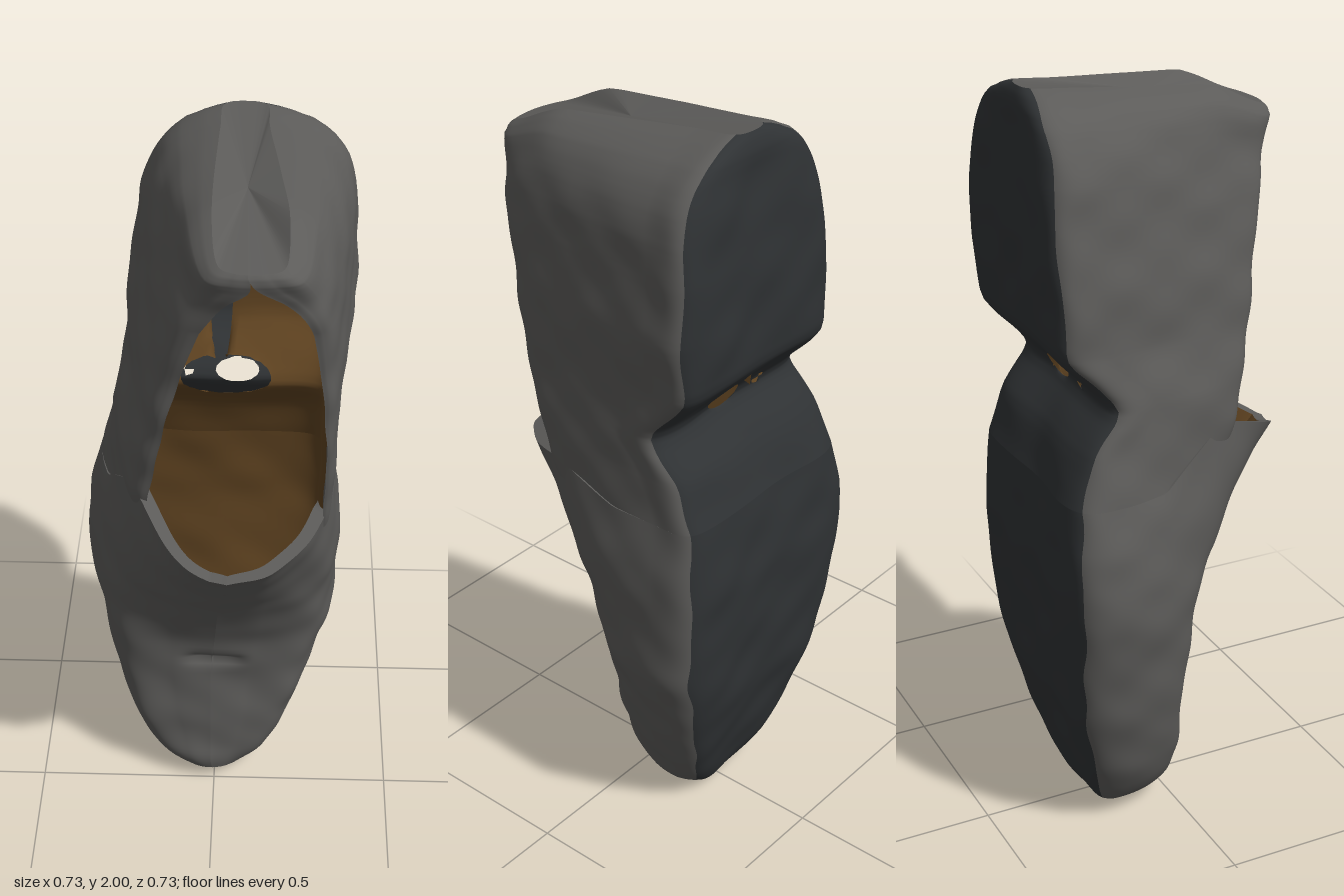
import * as THREE from 'three';

const N = 200; // columns around a section, 10 spans of 20
const clamp = THREE.MathUtils.clamp;

// Toe half: y, sole xLeft, xRight, front xLeft, xRight, back z, shoulder z, front z
const TOE = [
  [0.00, -0.09, 0.08, -0.08, 0.07, -0.19, -0.03, 0.01],
  [0.04, -0.16, 0.14, -0.13, 0.11, -0.22, -0.02, 0.02],
  [0.10, -0.20, 0.18, -0.16, 0.14, -0.25, -0.02, 0.01],
  [0.20, -0.245, 0.225, -0.20, 0.18, -0.28, -0.02, 0.01],
  [0.40, -0.30, 0.29, -0.25, 0.23, -0.33, -0.03, 0.00],
  [0.55, -0.33, 0.335, -0.265, 0.27, -0.345, -0.02, 0.02],
  [0.70, -0.355, 0.34, -0.265, 0.29, -0.355, 0.00, 0.10],
  [0.80, -0.36, 0.34, -0.255, 0.30, -0.36, 0.03, 0.17],
  [0.90, -0.35, 0.335, -0.23, 0.295, -0.355, 0.08, 0.26],
  [1.02, -0.31, 0.32, -0.20, 0.29, -0.345, 0.13, 0.365],
];

// Heel half: y, sole xLeft, xRight, front xLeft, xRight, back z, rim z, opening xLeft, xRight
const HEEL = [
  [1.02, -0.31, 0.32, -0.21, 0.30, -0.345, 0.12, -0.175, 0.28],
  [1.15, -0.28, 0.31, -0.205, 0.305, -0.30, 0.16, -0.16, 0.285],
  [1.25, -0.26, 0.315, -0.19, 0.305, -0.215, 0.185, -0.14, 0.285],
  [1.31, -0.25, 0.32, -0.18, 0.305, -0.265, 0.20, -0.13, 0.285],
  [1.39, -0.235, 0.33, -0.16, 0.305, -0.345, 0.22, -0.115, 0.28],
  [1.55, -0.225, 0.358, -0.125, 0.295, -0.355, 0.25, -0.075, 0.265],
  [1.70, -0.205, 0.355, -0.085, 0.285, -0.355, 0.285, -0.025, 0.24],
  [1.80, -0.185, 0.345, -0.05, 0.265, -0.35, 0.31, 0.015, 0.21],
  [1.87, -0.16, 0.325, -0.03, 0.245, -0.345, 0.33, 0.045, 0.17],
  [1.92, -0.13, 0.295, -0.02, 0.225, -0.34, 0.345, 0.09, 0.12],
  [1.96, -0.09, 0.25, -0.01, 0.21, -0.34, 0.36, 0.10, 0.10],
  [1.985, -0.04, 0.19, 0.00, 0.20, -0.33, 0.36, 0.09, 0.09],
  [2.00, 0.01, 0.13, 0.02, 0.17, -0.32, 0.35, 0.09, 0.09],
];

// Table lookup, slightly smoothed along y
function lookup(table, y) {
  const lin = (v) => {
    v = clamp(v, table[0][0], table.at(-1)[0]);
    let i = 0;
    while (i < table.length - 2 && v > table[i + 1][0]) i++;
    const a = table[i], b = table[i + 1], k = (v - a[0]) / (b[0] - a[0]);
    return a.map((n, j) => n + (b[j] - n) * k);
  };
  const d = Math.min(0.025, y - table[0][0], table.at(-1)[0] - y);
  const p = lin(y - d), q = lin(y), r = lin(y + d);
  return q.map((n, j) => (p[j] + 2 * n + r[j]) / 4);
}

// One section from the right front edge, around the sole, to the left front edge
function section(table, y, inner) {
  const s = lookup(table, y);
  const [, xL, xR, fL, fR, zb] = s;
  const heel = table === HEEL;
  const c = (fL + fR) / 2, cb = (xL + xR) / 2;
  const zf = heel ? s[6] : s[7];
  const zs = heel ? s[6] - 0.03 : s[6];
  const oL = heel ? s[7] : c, oR = heel ? s[8] : c;
  const t = inner ? 0.03 : 0;
  // the sole edge is square at the heel and the waist, softer toward the toe
  const soft = 0.035 - 0.025 * clamp((y - 0.8) / 0.4, 0, 1);
  const side = (f, x, o) => {
    const d = Math.sign(x - cb);
    return [
      [o, zf - t],
      [o + (f - d * t - o) * 0.45, zf + (zs - zf) * 0.18 - t],
      [f - d * t, zs - t],
      [x - d * t, zb + 0.12 + t / 2],
      [x - d * (soft + t), zb + 0.012 + t],
    ];
  };
  const pts = [...side(fR, xR, oR), [cb, zb + t], ...side(fL, xL, oL).reverse()];
  const curve = new THREE.CatmullRomCurve3(pts.map(([x, z]) => new THREE.Vector3(x, y, z)), false, 'centripetal');
  return Array.from({ length: N + 1 }, (_, i) => place(curve.getPoint(i / N), heel, inner));
}

// Slanted toe and heel ends, lifted vamp edge, worn surface
function place(p, heel, inner) {
  const { x, y, z } = p;
  if (heel) {
    const slope = 0.04 * clamp((z + 0.3) / 0.5, 0, 1) + 0.07 * THREE.MathUtils.smoothstep(z, 0.15, 0.36);
    p.y -= slope * clamp((y - 1.7) / 0.3, 0, 1);
  } else {
    p.y += 0.05 * clamp((z + 0.18) / 0.2, 0, 1) * clamp(1 - y / 0.3, 0, 1);
    const lift = 0.22 * clamp(0.36 - z, 0, 0.25) + 0.33 * Math.max(0, -x);
    p.y += lift * clamp((y - 0.8) / 0.22, 0, 1) * clamp((z + 0.1) / 0.2, 0, 1);
  }
  const bump = 0.003 * Math.sin(23 * x + 3) * Math.sin(19 * y + 1) + 0.002 * Math.sin(37 * y + 11 * x) * Math.sin(29 * z - 17 * x);
  p.x += bump * clamp(x * 8, -1, 1);
  p.z += bump;
  // short crease across the toe
  if (!inner && !heel && z > -0.1) p.z -= 0.022 * Math.exp(-(((y - 0.46) / 0.015) ** 2) - ((x / 0.08) ** 4));
  return p;
}

// Worn-through places in the waist, as ellipses: x, y, radius x, radius y
const SOLE_HOLES = [[0.055, 1.272, 0.058, 0.03], [-0.08, 1.27, 0.02, 0.018]];
const LINING_HOLES = [[0.025, 1.267, 0.12, 0.052], [0.01, 1.45, 0.03, 0.17]];

// Surface through rows of points, limited to columns from..to
function sheet(name, rows, color, from = 0, to = rows[0].length - 1, holes = []) {
  const w = to - from + 1, pos = [], index = [], gone = [];
  rows.forEach((r) => r.slice(from, to + 1).forEach(({ x, y, z }) => {
    // points inside a hole move to its edge
    const h = z < -0.1 && holes.find(([a, b, rx, ry]) => Math.hypot((x - a) / rx, (y - b) / ry) < 1);
    gone.push(!!h);
    if (h) {
      const k = 1 / Math.max(0.05, Math.hypot((x - h[0]) / h[2], (y - h[1]) / h[3]));
      pos.push(h[0] + (x - h[0]) * k, h[1] + (y - h[1]) * k, z);
    } else pos.push(x, y, z);
  }));
  const tri = (...t) => { if (!t.every((i) => gone[i])) index.push(...t); };
  for (let i = 0; i < rows.length - 1; i++) {
    for (let j = 0; j < w - 1; j++) {
      const a = i * w + j, b = a + 1, c = a + w, d = c + 1;
      tri(a, c, b);
      tri(b, c, d);
    }
  }
  const g = new THREE.BufferGeometry();
  g.setAttribute('position', new THREE.Float32BufferAttribute(pos, 3));
  g.setIndex(index);
  g.computeVertexNormals();
  const mesh = new THREE.Mesh(g, new THREE.MeshStandardMaterial({ color, side: THREE.DoubleSide }));
  mesh.name = name;
  return mesh;
}

// End cap: a row and the same row collapsed to its middle
function cap(row) {
  const c = row.reduce((s, p) => s.add(p), new THREE.Vector3()).divideScalar(row.length);
  return [row, row.map(() => c)];
}

export function createModel() {
  const model = new THREE.Group();
  model.name = 'wornShoe';
  const leather = 0x5c5b59, soleColor = 0x2f3234, brown = 0x5e4220;
  const range = (a, b, n) => Array.from({ length: n + 1 }, (_, i) => a + ((b - a) * i) / n);

  // toe box and vamp
  const toe = range(0, 1.02, 60).map((y) => section(TOE, y, false));
  const toeIn = range(0.3, 1.02, 36).map((y) => section(TOE, y, true));
  const vampEdge = [toe.at(-1), toeIn.at(-1)];

  // quarters and heel
  const ys = range(1.02, 2.0, 98);
  const heel = ys.map((y) => section(HEEL, y, false));
  const heelIn = ys.map((y) => section(HEEL, Math.min(y, 1.94), true));
  const rims = [0, N].map((j) => heel.map((r, i) => [r[j], heelIn[i][j]]));

  const a = N * 0.4, b = N * 0.6; // sole columns
  for (const [part, rows] of [['toe', toe], ['heel', heel]]) {
    model.add(sheet(part + 'RightUpper', rows, leather, 0, a));
    model.add(sheet(part + 'Sole', rows, soleColor, a, b, SOLE_HOLES));
    model.add(sheet(part + 'LeftUpper', rows, leather, b, N));
  }
  model.add(sheet('toeEnd', cap(toe[0]), leather));
  model.add(sheet('heelEnd', cap(heel.at(-1)), leather));
  model.add(sheet('toeLining', toeIn, brown));
  model.add(sheet('toeLiningEnd', cap(toeIn[0]), brown));
  model.add(sheet('heelLining', heelIn, brown, 0, N, LINING_HOLES));
  model.add(sheet('heelLiningEnd', cap(heelIn.at(-1)), brown));
  model.add(sheet('vampEdge', vampEdge, leather, 0, a));
  model.add(sheet('vampEdge', vampEdge, leather, b, N));
  rims.forEach((r) => model.add(sheet('openingRim', r, leather)));
  return model;
}
